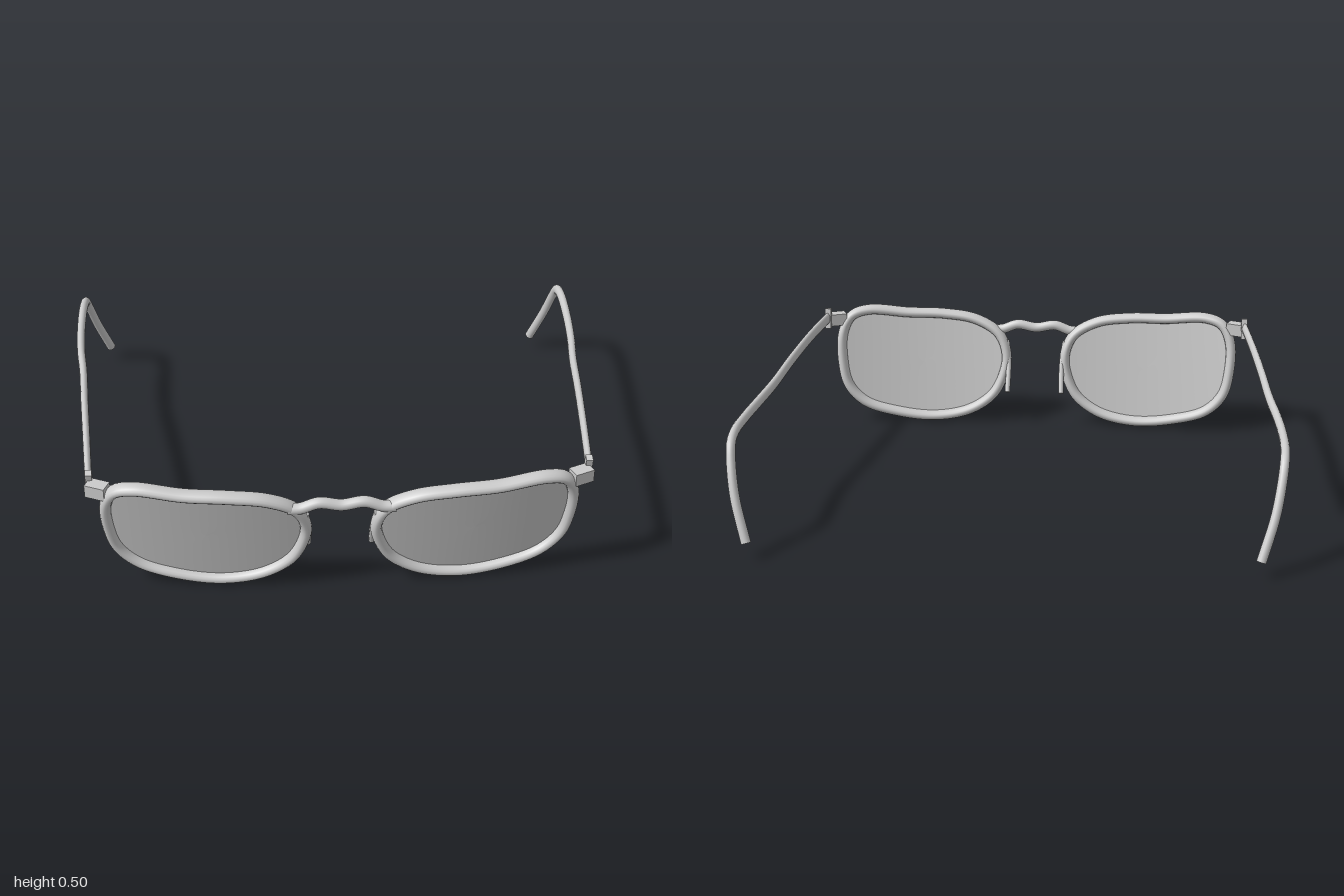
import * as THREE from 'three';

const material = new THREE.MeshStandardMaterial({ color: 0xcccccc });
const lensMaterial = new THREE.MeshStandardMaterial({ color: 0xcccccc, side: THREE.DoubleSide });
const X = new THREE.Vector3(1, 0, 0);
const Z = new THREE.Vector3(0, 0, 1);

// Depth of the wrapped, forward-tilted front at a given place
const frontDepth = (x, y) => 0.78 - 0.25 * (Math.abs(x) - 0.3) ** 2 + 0.2 * (y - 0.45);

function geometryFrom(positions, index) {
  const g = new THREE.BufferGeometry();
  g.setAttribute('position', new THREE.Float32BufferAttribute(positions, 3));
  g.setIndex(index);
  g.computeVertexNormals();
  return g;
}

// Sweep an oval along a curve; radii(u) = [radius along ref, radius across it]
function sweep(curve, ref, segments, radii, closed = false, sides = 16) {
  const rows = [];
  for (let i = 0; i < segments + (closed ? 0 : 1); i++) rows.push([i / segments, 1]);
  if (!closed) { // flat end caps on separate vertices
    rows.unshift([0, 0], [0, 1]);
    rows.push([1, 1], [1, 0]);
  }
  const positions = [], index = [];
  for (const [u, scale] of rows) {
    const c = curve.getPointAt(u), t = curve.getTangentAt(u);
    const b = t.clone().cross(ref).normalize(), a = b.clone().cross(t);
    const [ra, rb] = radii(u);
    for (let j = 0; j < sides; j++) {
      const q = (j / sides) * Math.PI * 2;
      const p = c.clone().addScaledVector(a, Math.cos(q) * ra * scale)
        .addScaledVector(b, Math.sin(q) * rb * scale);
      positions.push(p.x, p.y, p.z);
    }
  }
  const n = rows.length;
  for (let i = 0; i < (closed ? n : n - 1); i++) {
    for (let j = 0; j < sides; j++) {
      const k = (j + 1) % sides, m = (i + 1) % n;
      const A = i * sides + j, B = i * sides + k, C = m * sides + j, D = m * sides + k;
      index.push(A, B, C, B, D, C);
    }
  }
  return geometryFrom(positions, index);
}

// Curved lens sheet: concentric copies of the rim outline, shrunk to the middle
function lensSheet(curve, cx, cy, rings = 8, sides = 96) {
  const positions = [], index = [];
  for (let r = 0; r <= rings; r++) {
    for (let j = 0; j < sides; j++) {
      const p = curve.getPointAt(j / sides);
      const x = cx + (p.x - cx) * r / rings, y = cy + (p.y - cy) * r / rings;
      positions.push(x, y, frontDepth(x, y));
      if (r < rings) {
        const k = (j + 1) % sides, A = r * sides + j, B = r * sides + k;
        index.push(A, A + sides, B, B, A + sides, B + sides);
      }
    }
  }
  return geometryFrom(positions, index);
}

const outline = [
  [0.125, 0.3], [0.16, 0.385], [0.26, 0.442], [0.4, 0.463], [0.55, 0.468], [0.72, 0.483],
  [0.79, 0.46], [0.825, 0.39], [0.825, 0.27], [0.8, 0.17], [0.73, 0.095], [0.6, 0.05],
  [0.43, 0.03], [0.28, 0.06], [0.18, 0.13], [0.135, 0.22],
];
const templePath = [
  [0.882, 0.465, 0.66], [0.906, 0.462, 0.4], [0.93, 0.445, 0.15], [0.951, 0.422, -0.08],
  [0.972, 0.409, -0.25], [0.983, 0.408, -0.42], [0.984, 0.408, -0.58], [0.98, 0.39, -0.65],
  [0.972, 0.33, -0.695], [0.952, 0.22, -0.745], [0.908, 0.07, -0.797],
];
const padPath = [[0.125, 0.36, 0.755], [0.114, 0.27, 0.72], [0.115, 0.155, 0.66]];
const bridgePath = [
  [-0.19, 0.4], [-0.145, 0.402], [-0.08, 0.424], [0, 0.412], [0.08, 0.424], [0.145, 0.402], [0.19, 0.4],
].map(([x, y]) => new THREE.Vector3(x, y, 0.776));

export function createModel() {
  const model = new THREE.Group();
  model.name = 'glasses';
  const add = (name, geometry, mat = material) => {
    const mesh = new THREE.Mesh(geometry, mat);
    mesh.name = name;
    model.add(mesh);
    return mesh;
  };
  const path = (points, s) =>
    new THREE.CatmullRomCurve3(points.map(([x, y, z]) => new THREE.Vector3(s * x, y, z)));

  // Wavy bridge over the nose
  add('bridge', sweep(new THREE.CatmullRomCurve3(bridgePath), Z, 48, () => [0.022, 0.02]));

  for (const [side, s] of [['left', 1], ['right', -1]]) {
    // Rim and lens
    const rim = new THREE.CatmullRomCurve3(
      outline.map(([x, y]) => new THREE.Vector3(s * x, y, frontDepth(x, y))), true);
    add(side + 'Rim', sweep(rim, Z, 120, () => [0.031, 0.021], true));
    add(side + 'Lens', lensSheet(rim, s * 0.48, 0.26), lensMaterial);

    // Nose rest behind the inner edge of the rim
    add(side + 'NoseRest', sweep(path(padPath, s), X, 16, () => [0.011, 0.013], false, 12));

    // Hinge block on the rim and upright hinge plate on the temple
    const block = add(side + 'HingeBlock', new THREE.BoxGeometry(0.075, 0.05, 0.05));
    block.position.set(s * 0.85, 0.452, 0.698);
    block.rotation.y = s * 0.4;
    const plate = add(side + 'HingePlate', new THREE.BoxGeometry(0.024, 0.085, 0.028));
    plate.position.set(s * 0.879, 0.463, 0.662);
    plate.rotation.x = 0.19;

    // Temple: flat at the hinge, rounder towards the hooked ear tip
    add(side + 'Temple', sweep(path(templePath, s), X, 96,
      (u) => [0.013 + 0.005 * u, 0.024 - 0.005 * u]));
  }
  return model;
}
